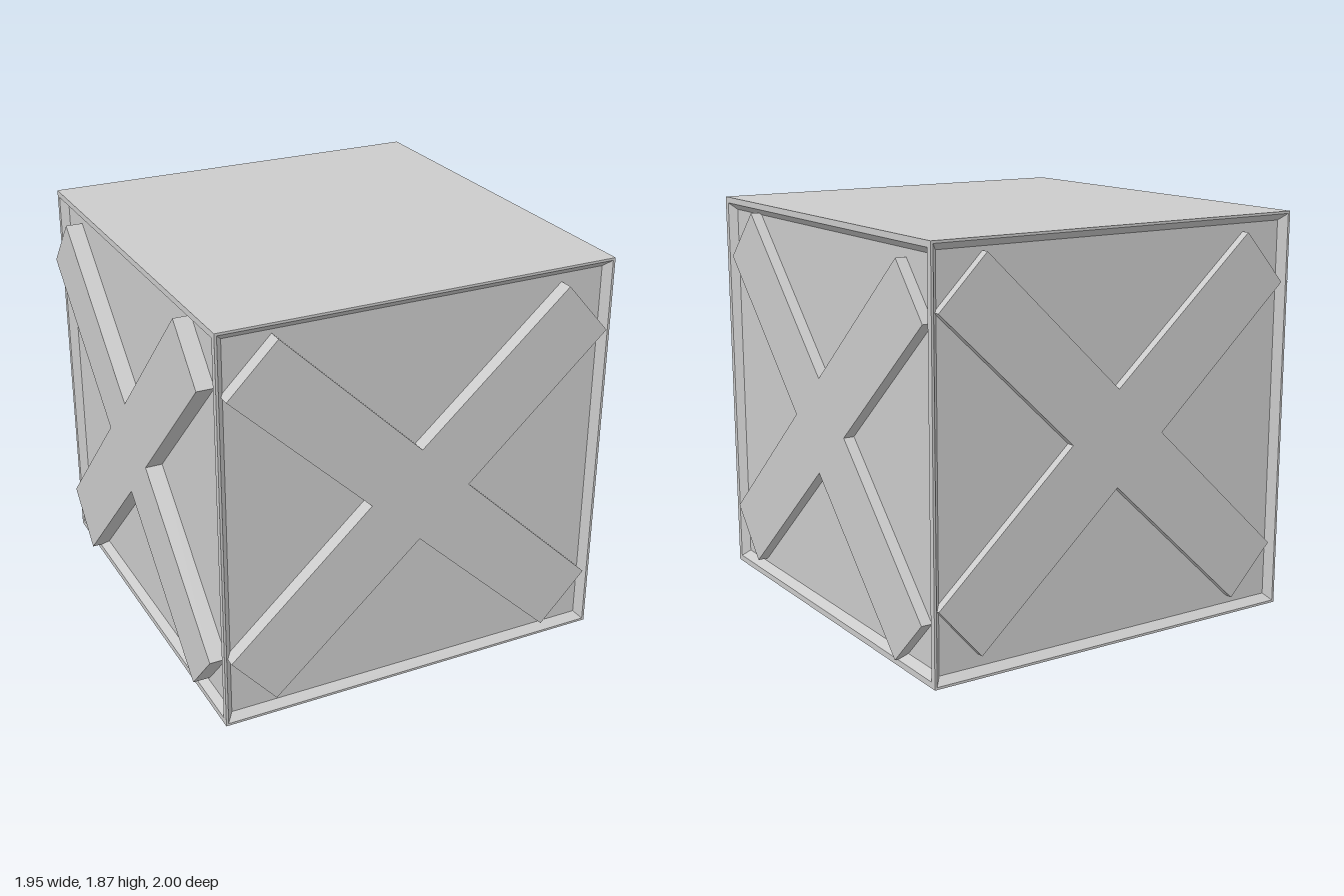
import * as THREE from 'three';

const WIDTH = 1.885, HEIGHT = 1.87, DEPTH = 1.965, INSET = 0.035;
const CENTER_X = 0.0125, CENTER_Z = -0.0155;
const material = new THREE.MeshStandardMaterial({ color: 0xcccccc, flatShading: true });

function mesh(geometry, name) {
  const m = new THREE.Mesh(geometry, material);
  m.name = name;
  return m;
}

// Recessed panel: flat rim, sloped bevel and flat centre, lofted from nested rectangles
function recessedPanel(width, rim) {
  const ring = (margin, z) => {
    const x = width / 2 - margin;
    return [[-x, margin, z], [x, margin, z], [x, HEIGHT - margin, z], [-x, HEIGHT - margin, z]];
  };
  const rings = [ring(0, 0), ring(rim, 0), ring(rim + 0.031, -INSET)];
  const positions = [];
  const quad = (a, b, c, d) => positions.push(...a, ...b, ...c, ...a, ...c, ...d);
  for (let r = 0; r < 2; r++) {
    for (let i = 0; i < 4; i++) {
      const j = (i + 1) % 4;
      quad(rings[r][i], rings[r][j], rings[r + 1][j], rings[r + 1][i]);
    }
  }
  quad(...rings[2]);
  const geometry = new THREE.BufferGeometry();
  geometry.setAttribute('position', new THREE.Float32BufferAttribute(positions, 3));
  geometry.computeVertexNormals();
  return geometry;
}

// Crossed planks, joined into one outline and raised from the panel
function crossBrace(outline, protrusion) {
  const shape = new THREE.Shape(outline.map(([x, y]) => new THREE.Vector2(x, y)));
  const geometry = new THREE.ExtrudeGeometry(shape, { depth: INSET + protrusion, bevelEnabled: false });
  return geometry.translate(0, 0, -INSET);
}

// Slightly uneven plank outlines, seen from outside the panel
const frontCross = [
  [-0.67, 1.81], [-0.9, 1.58], [-0.24, 0.95], [-0.91, 0.34], [-0.7, 0.1], [0, 0.725],
  [0.68, 0.08], [0.9, 0.31], [0.24, 0.94], [0.915, 1.55], [0.705, 1.79], [0, 1.165],
].map(([x, y]) => [x - CENTER_X, y]);
const rightCross = [
  [0.64, 1.82], [0.87, 1.59], [0.21, 0.93], [0.91, 0.31], [0.7, 0.075], [-0.01, 0.7],
  [-0.69, 0.03], [-0.92, 0.26], [-0.26, 0.92], [-0.955, 1.535], [-0.745, 1.775], [-0.03, 1.145],
].map(([z, y]) => [CENTER_Z - z, y]);
const leftCross = rightCross.map(([x, y]) => [-x, y]);

export function createModel() {
  const crate = new THREE.Group();
  crate.name = 'crate';
  crate.position.set(CENTER_X, 0, CENTER_Z);

  // Four walls, each turned about the crate's centre
  const walls = [
    { name: 'front', turn: 0, width: WIDTH, distance: DEPTH / 2, rim: 0.011, cross: frontCross, out: 0.032 },
    { name: 'back', turn: Math.PI, width: WIDTH, distance: DEPTH / 2, rim: 0.011, cross: frontCross, out: 0.004 },
    { name: 'positiveXSide', turn: Math.PI / 2, width: DEPTH, distance: WIDTH / 2, rim: 0.028, cross: rightCross, out: 0.016 },
    { name: 'negativeXSide', turn: -Math.PI / 2, width: DEPTH, distance: WIDTH / 2, rim: 0.028, cross: leftCross, out: 0.045 },
  ];
  for (const w of walls) {
    const wall = new THREE.Group();
    wall.name = w.name + 'Wall';
    wall.rotation.y = w.turn;
    wall.position.set(Math.sin(w.turn) * w.distance, 0, Math.cos(w.turn) * w.distance);
    wall.add(mesh(recessedPanel(w.width, w.rim), w.name + 'Panel'));
    wall.add(mesh(crossBrace(w.cross, w.out), w.name + 'CrossBrace'));
    crate.add(wall);
  }

  // Plain lid and base
  const lid = mesh(new THREE.PlaneGeometry(WIDTH, DEPTH).rotateX(-Math.PI / 2), 'lid');
  lid.position.y = HEIGHT;
  const base = mesh(new THREE.PlaneGeometry(WIDTH, DEPTH).rotateX(Math.PI / 2), 'base');
  crate.add(lid, base);

  const model = new THREE.Group();
  model.name = 'woodenCrate';
  model.add(crate);
  return model;
}
